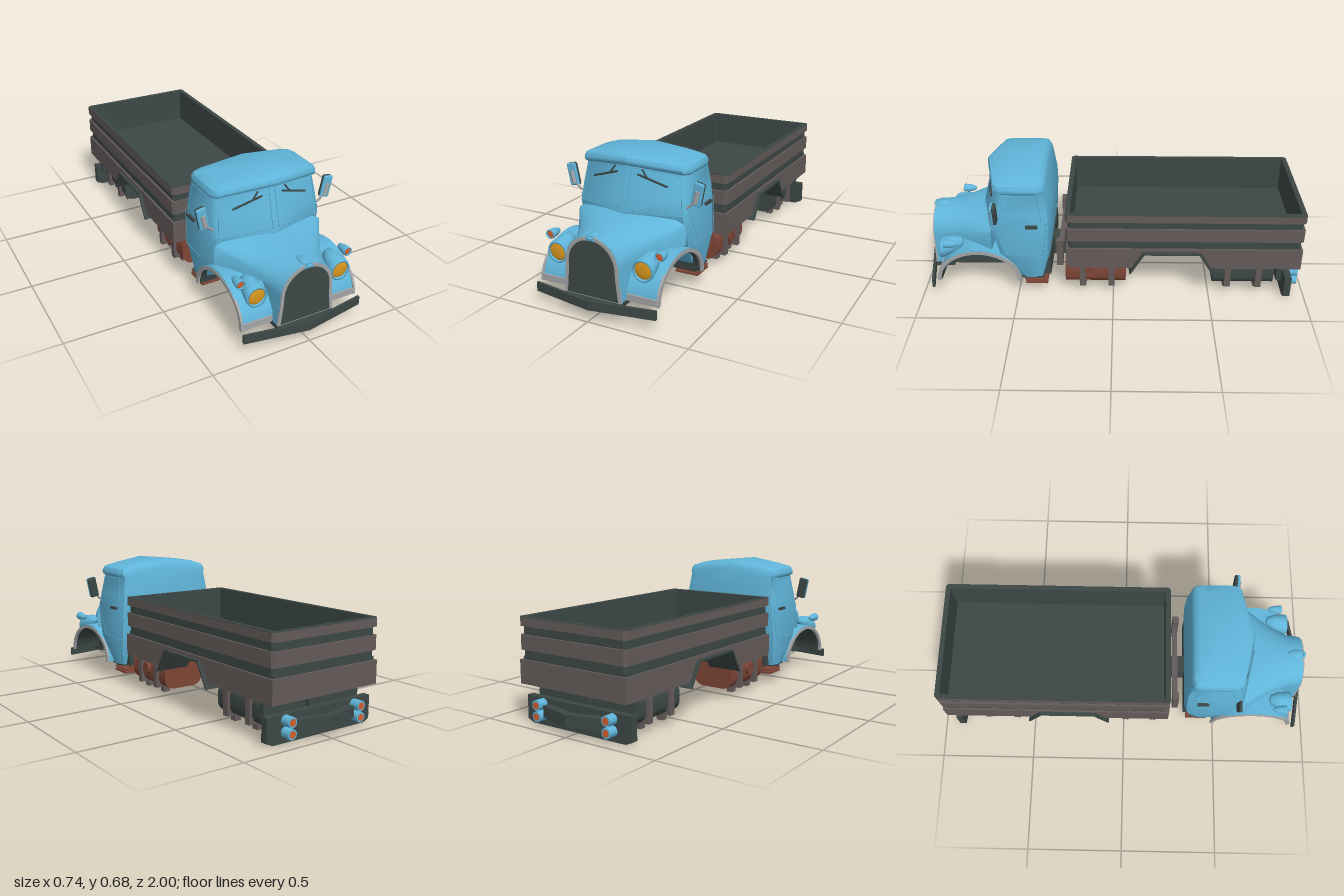
import * as THREE from 'three';
import { toCreasedNormals } from 'three/addons/utils/BufferGeometryUtils.js';
import { RoundedBoxGeometry } from 'three/addons/geometries/RoundedBoxGeometry.js';

const mat = (name, color) => new THREE.MeshStandardMaterial({ name, color, side: THREE.DoubleSide });

export function createModel() {
  const root = new THREE.Group();
  root.name = 'truck';
  const blue = mat('cab blue', 0x60b5da), dark = mat('dark chassis', 0x3c4846), slat = mat('slat grey brown', 0x635b59);
  const rust = mat('rust brown', 0x7e4636), amber = mat('amber', 0xdb981e), red = mat('orange red', 0xd2602f);
  const silver = mat('silver', 0xa3a5a6);
  const V = (x, y, z) => new THREE.Vector3(x, y, z);

  const add = (name, geo, m) => {
    const mesh = new THREE.Mesh(geo, m);
    mesh.name = name;
    root.add(mesh);
    return mesh;
  };
  // box given by its limits
  const box = (name, m, x0, x1, y0, y1, z0, z1) =>
    add(name, new THREE.BoxGeometry(Math.abs(x1 - x0), y1 - y0, z1 - z0)
      .translate((x0 + x1) / 2, (y0 + y1) / 2, (z0 + z1) / 2), m);
  // round rod between two points
  const bar = (name, m, a, b, r, sides = 6) => {
    const mesh = add(name, new THREE.CylinderGeometry(r, r, a.distanceTo(b), sides), m);
    mesh.position.copy(a).lerp(b, 0.5);
    mesh.quaternion.setFromUnitVectors(V(0, 1, 0), b.clone().sub(a).normalize());
  };
  const outline = (name, m, pts, r) => pts.forEach((p, i) => bar(name, m, p, pts[(i + 1) % pts.length], r, 4));
  const poly = (pts) => new THREE.Shape(pts.map(([a, b]) => new THREE.Vector2(a, b)));
  // extrude a (z, y) side profile from x0 to x1
  const extrudeX = (name, m, shape, x0, x1) => {
    const lo = Math.min(x0, x1), hi = Math.max(x0, x1);
    const g = new THREE.ExtrudeGeometry(shape, { depth: hi - lo, bevelEnabled: false });
    add(name, toCreasedNormals(g.rotateY(-Math.PI / 2).translate(hi, 0, 0), 0.6), m);
  };
  // extrude an (x, y) shape from z0 to z1
  const extrudeZ = (name, m, shape, z0, z1) => add(name, toCreasedNormals(
    new THREE.ExtrudeGeometry(shape, { depth: z1 - z0, bevelEnabled: false }).translate(0, 0, z0), 0.6), m);
  // skin closed rings of points, with fan caps
  const loft = (rings, crease) => {
    const pos = [], tri = (...p) => p.forEach((q) => pos.push(...q));
    const n = rings[0].length;
    for (let i = 0; i + 1 < rings.length; i++) for (let j = 0; j < n; j++) {
      const k = (j + 1) % n, a = rings[i][j], b = rings[i][k], c = rings[i + 1][k], d = rings[i + 1][j];
      tri(a, b, c); tri(a, c, d);
    }
    [rings[0], rings.at(-1)].forEach((r, e) => {
      const c = [0, (r[0][1] + r[n / 2][1]) / 2, (r[0][2] + r[n / 2][2]) / 2];
      r.forEach((p, j) => (e ? tri(c, p, r[(j + 1) % n]) : tri(c, r[(j + 1) % n], p)));
    });
    const g = new THREE.BufferGeometry();
    g.setAttribute('position', new THREE.Float32BufferAttribute(pos, 3));
    return toCreasedNormals(g, crease);
  };
  // half ring from centre to centre, completed by its mirror image
  const mirrorRing = (half) => [...half, ...half.slice(1, -1).reverse().map(([x, y, z]) => [-x, y, z])];

  // cab: plan rings [y, half width, back, side front, centre front, crown]
  const cabRings = [
    [0.10, 0.28, 0.36, 0.48, 0.48, 0], [0.25, 0.302, 0.325, 0.58, 0.60, 0], [0.41, 0.296, 0.317, 0.62, 0.69, 0],
    [0.50, 0.289, 0.318, 0.602, 0.664, 0.04], [0.62, 0.276, 0.333, 0.578, 0.63, 0.1],
    [0.63, 0.283, 0.336, 0.592, 0.65, 0.1], [0.645, 0.283, 0.34, 0.597, 0.655, 0.1],
    [0.664, 0.274, 0.348, 0.592, 0.648, 0.1], [0.678, 0.22, 0.375, 0.56, 0.62, 0.1],
  ].map(([y, w, bk, sf, cf, k]) => mirrorRing(
    [[0, cf], [w - 0.02, sf], [w, sf - 0.03], [w, bk + 0.05], [w - 0.012, bk + 0.012], [w - 0.05, bk], [0, bk]]
      .map(([x, z]) => [x, y - k * x, z])));
  add('cab', loft(cabRings, 0.75), blue);
  box('cabFloor', dark, -0.275, 0.275, 0.094, 0.10, 0.362, 0.48);
  box('cabRearSkirt', dark, -0.25, 0.25, 0.10, 0.21, 0.327, 0.362);

  // hood: cross-sections [z, half width, shoulder height, top]
  const hoodRings = [
    [0.95, 0.136, 0.26, 0.384], [0.88, 0.146, 0.27, 0.385], [0.78, 0.19, 0.30, 0.394], [0.70, 0.24, 0.33, 0.405], [0.62, 0.293, 0.36, 0.412],
  ].map(([z, w, sh, top]) => {
    const half = [[0, 0.10, z], [0.147, 0.10, z], [Math.min(w, 0.146), 0.255, z], [w, Math.min(0.28, sh + 0.005), z]];
    for (let i = 1; i <= 9; i++) {
      const t = (i / 9) * Math.PI / 2;
      half.push([w * Math.cos(t) ** 0.85, sh + (top - sh) * Math.sin(t), z]);
    }
    half.at(-1)[0] = 0;
    return mirrorRing(half);
  });
  add('hood', loft(hoodRings, 0.8), blue);
  // ornament running into the peak of the grille
  const nub = add('hoodOrnament', new THREE.SphereGeometry(1, 16, 10), blue);
  nub.scale.set(0.026, 0.016, 0.05);
  nub.position.set(0, 0.381, 0.916);
  box('engineBayFloor', dark, -0.146, 0.146, 0.095, 0.102, 0.48, 0.948);

  // grille with bright surround, flared at the foot
  const arch = (inset, C = THREE.Shape) => {
    const s = new C(), w = 0.136 - inset, top = 0.386 - inset;
    s.moveTo(-w - 0.014, 0.1); s.lineTo(w + 0.014, 0.1); s.lineTo(w + 0.003, 0.2); s.lineTo(w, 0.26);
    s.bezierCurveTo(w - 0.005, 0.32, 0.08 - inset, top, 0, top);
    s.bezierCurveTo(inset - 0.08, top, 0.005 - w, 0.32, -w, 0.26);
    s.lineTo(-w - 0.003, 0.2);
    return s;
  };
  const surround = arch(0);
  surround.holes.push(arch(0.016, THREE.Path));
  extrudeZ('grilleSurround', silver, surround, 0.946, 0.955);
  extrudeZ('grille', dark, arch(0.015), 0.946, 0.952);
  extrudeZ('grillePeak', blue, poly([[-0.026, 0.369], [0.026, 0.369], [0.014, 0.395], [-0.014, 0.395]]), 0.948, 0.957);

  // half-ellipse band used by the wheel arches
  const band = (r0x, r0y, r1x, r1y) => {
    const s = new THREE.Shape();
    s.absellipse(0.695, 0.1, r1x, r1y, 0, Math.PI, false);
    if (r0x) s.absellipse(0.695, 0.1, r0x, r0y, Math.PI, 0, true);
    return s;
  };
  // windscreen points on the sloping glass plane, u out and v up
  const glass = (s, u, v) => {
    const x = THREE.MathUtils.lerp(0.276, 0.256, v) * u;
    const z = THREE.MathUtils.lerp(0.69 - 0.07 * u, 0.63 - 0.052 * u, v) + 0.002;
    return V(s * x, 0.41 + v * (0.21 - 0.025 * u), z);
  };
  // points on the door skin
  const side = (s, z, y) => V(s * (y > 0.41 ? 0.2962 - (y - 0.41) * 0.109 : 0.2962 + (0.41 - y) * 0.037), y, z);

  // rounded tank section, centred on x
  const tankShape = (x) => {
    const c = new THREE.Shape(), w = 0.117, r = 0.058, y0 = 0.05, y1 = 0.2;
    c.moveTo(x - w + r, y0);
    c.absarc(x + w - r, y0 + r, r, -Math.PI / 2, 0); c.absarc(x + w - r, y1 - r, r, 0, Math.PI / 2);
    c.absarc(x - w + r, y1 - r, r, Math.PI / 2, Math.PI); c.absarc(x - w + r, y0 + r, r, Math.PI, Math.PI * 1.5);
    return c;
  };

  for (const s of [-1, 1]) {
    // front fenders
    extrudeX('fender', blue, band(0.202, 0.166, 0.212, 0.182), s * 0.14, s * 0.308);
    extrudeX('wheelArchLiner', dark, band(0.196, 0.16, 0.202, 0.166), s * 0.14, s * 0.299);
    extrudeX('wheelArchTrim', silver, band(0.2, 0.16, 0.219, 0.177), s * 0.3, s * 0.312);
    extrudeX('innerWheelWall', dark, band(0, 0, 0.198, 0.162), s * 0.144, s * 0.15);
    box('fenderFrontTrim', silver, s * 0.15, s * 0.312, 0.10, 0.132, 0.903, 0.911);

    // headlights and turn signals, pods swept up towards the tail
    for (const [name, m, x, y, z, r, len, rise] of [['headlight', amber, 0.225, 0.251, 0.885, 0.054, 0.11, 0.32], ['turnSignal', red, 0.288, 0.311, 0.85, 0.023, 0.06, 0]]) {
      const pod = new THREE.LatheGeometry([[0.001, -len], [0.5 * r, -len * 0.9], [0.85 * r, -len * 0.5], [r, 0], [0.94 * r, 0.012], [0.8 * r, 0.012], [0.78 * r, 0]]
        .map(([a, b]) => new THREE.Vector2(a, b)), 24).rotateX(Math.PI / 2);
      pod.applyMatrix4(new THREE.Matrix4().set(1, 0, 0, 0, 0, 1, -rise, 0, 0, 0, 1, 0, 0, 0, 0, 1));
      add(name + 'Housing', pod, blue).position.set(s * x, y, z);
      const lens = add(name + 'Lens', new THREE.SphereGeometry(r * 0.81, 24, 12), m);
      lens.scale.z = 0.2;
      lens.position.set(s * x, y, z + 0.003);
    }

    // windscreen seal and wipers
    outline('windscreenSeal', blue, [glass(s, 0.06, 0.09), glass(s, 0.98, 0.01), glass(s, 0.98, 0.97), glass(s, 0.06, 0.98)], 0.002);
    const tip = glass(s, 0.75, 0.69), inner = glass(s, 0.21, 0.87), mid = glass(s, 0.39, 0.81), pivot = glass(s, 0.28, 0.99);
    [tip, inner, mid, pivot].forEach((p) => (p.z += 0.01));
    bar('wiperBlade', dark, tip, inner, 0.005);
    bar('wiperArm', dark, mid, pivot, 0.004);

    // doors
    outline('doorWindowSeal', blue, [side(s, 0.575, 0.445), side(s, 0.36, 0.45), side(s, 0.378, 0.585), side(s, 0.545, 0.585)], 0.002);
    const seam = [[0.59, 0.43], [0.58, 0.40], [0.51, 0.26], [0.355, 0.255], [0.335, 0.44]].map(([z, y]) => side(s, z, y));
    seam.slice(1).forEach((p, i) => bar('doorSeam', blue, seam[i], p, 0.0016, 4));
    box('doorHandle', dark, s * 0.292, s * 0.308, 0.415, 0.428, 0.38, 0.44);

    // mirrors: blue front shell, dark back
    bar('mirrorStalk', silver, V(s * 0.285, 0.45, 0.598), V(s * 0.325, 0.485, 0.598), 0.006);
    bar('mirrorBracket', silver, V(s * 0.326, 0.478, 0.598), V(s * 0.341, 0.54, 0.598), 0.013, 10);
    const shell = add('mirrorShell', new RoundedBoxGeometry(0.05, 0.112, 0.016, 4, 0.0079), blue);
    shell.position.set(s * 0.337, 0.521, 0.594);
    const face = add('mirrorBack', new RoundedBoxGeometry(0.05, 0.112, 0.02, 4, 0.0099), dark);
    face.position.set(s * 0.337, 0.521, 0.582);
    shell.rotation.z = face.rotation.z = s * -0.2;

    // steps
    box('step', rust, s * 0.15, s * 0.27, 0.052, 0.062, 0.345, 0.46);
    box('stepUpperPlate', rust, s * 0.15, s * 0.27, 0.069, 0.076, 0.345, 0.46);
    for (const z of [0.365, 0.43]) box('stepBracket', rust, s * 0.2, s * 0.225, 0.045, 0.10, z, z + 0.014);

    // tanks with straps
    for (const [name, m, z0, z1, straps] of [['fuelTank', rust, -0.065, 0.25, [0.01, 0.16]], ['rearTank', dark, -0.835, -0.52, [-0.595, -0.755]]]) {
      extrudeZ(name, m, tankShape(s * 0.155), z0, z1);
      for (const z of straps) {
        box('tankStrap', slat, s * 0.262, s * 0.286, 0.055, 0.19, z - 0.016, z + 0.016);
        box('tankStrapFoot', slat, s * 0.205, s * 0.24, 0.022, 0.058, z - 0.016, z + 0.016);
        box('tankStrapBase', slat, s * 0.205, s * 0.286, 0.052, 0.064, z - 0.016, z + 0.016);
      }
    }
    bar('tankCap', rust, V(s * 0.26, 0.135, 0.10), V(s * 0.288, 0.135, 0.10), 0.03, 20);

    // tail lights
    for (const y of [0.05, 0.104]) {
      bar('tailLightHousing', blue, V(s * 0.21, y, -0.91), V(s * 0.21, y, -0.97), 0.025, 16);
      bar('tailLightLens', red, V(s * 0.21, y, -0.96), V(s * 0.21, y, -0.972), 0.017, 16);
    }
  }

  // v-shaped bumpers
  const chevron = (name, w, tip, end, t, y0, y1) => {
    const g = new THREE.ExtrudeGeometry(poly([[-w, -end], [0, -tip], [w, -end], [w, t - end], [0, t - tip], [-w, t - end]]),
      { depth: y1 - y0, bevelEnabled: false });
    add(name, g.rotateX(-Math.PI / 2).translate(0, y0, 0), dark);
  };
  chevron('frontBumper', 0.315, 0.998, 0.945, 0.014, 0.056, 0.1);
  box('frontBumperMount', dark, -0.145, 0.145, 0.075, 0.0985, 0.86, 0.972);
  chevron('rearBumperBar', 0.18, -1, -0.955, -0.04, 0.05, 0.105);
  extrudeZ('rearPanel', dark, poly([[-0.28, 0], [0.28, 0], [0.315, 0.015], [0.315, 0.13], [-0.315, 0.13], [-0.315, 0.015]]), -0.922, -0.887);
  for (const x of [-0.12, 0.12]) box('rearBumperMount', dark, x - 0.02, x + 0.02, 0.06, 0.095, -0.95, -0.91);

  // chassis
  box('spineBeam', dark, -0.045, 0.045, 0.09, 0.195, -0.89, 0.42);
  box('rearCrossMember', dark, -0.29, 0.29, 0.10, 0.195, -0.87, -0.845);
  bar('crossRod', dark, V(-0.26, 0.085, 0.46), V(0.26, 0.085, 0.46), 0.01, 8);
  box('headboardSupport', slat, -0.24, 0.24, 0.20, 0.235, 0.262, 0.29);
  for (const x of [-0.22, 0.22]) box('headboardPost', slat, x - 0.02, x + 0.02, 0.15, 0.30, 0.262, 0.295);

  // cargo bed: underbody and side boards with a wheel cut-out
  const profile = (z0, z1, y1) => poly([[z0, 0.19], [-0.5, 0.19], [-0.44, 0.285], [-0.155, 0.285], [-0.095, 0.19], [z1, 0.19], [z1, y1], [z0, y1]]);
  extrudeX('bedUnderbody', dark, profile(-0.945, 0.23, 0.32), -0.306, 0.306);
  for (const s of [-1, 1]) {
    extrudeX('lowerSideBoard', slat, profile(-0.957, 0.24, 0.305), s * 0.304, s * 0.318);
    // angled flaps of the rear wheel arch
    extrudeX('rearArchFlap', dark, poly([[-0.515, 0.165], [-0.505, 0.165], [-0.437, 0.28], [-0.158, 0.28], [-0.09, 0.165], [-0.08, 0.165],
      [-0.152, 0.29], [-0.443, 0.29]]), s * 0.15, s * 0.336);
  }
  box('lowerTailBoard', slat, -0.318, 0.318, 0.19, 0.305, -0.957, -0.943);
  box('lowerHeadBoard', slat, -0.318, 0.318, 0.19, 0.305, 0.226, 0.24);
  // rectangular rings, corners clipped, for the upper boards and dark inner walls
  const boards = (name, m, out, t, y0, y1) => {
    const rect = (x, z, c) => [[-x, c - z], [c - x, -z], [x - c, -z], [x, c - z], [x, z - c], [x - c, z], [c - x, z], [-x, z - c]];
    const hw = 0.318 - out, hl = 0.5985 - out;
    const s = poly(rect(hw, hl, 0.012));
    s.holes.push(new THREE.Path(rect(hw - t, hl - t, 0.004).reverse().map(([a, b]) => new THREE.Vector2(a, b))));
    add(name, new THREE.ExtrudeGeometry(s, { depth: y1 - y0, bevelEnabled: false }).rotateX(-Math.PI / 2).translate(0, y0, -0.3585), m);
  };
  boards('bedWalls', dark, 0.011, 0.014, 0.30, 0.503);
  boards('middleBoards', slat, 0, 0.013, 0.352, 0.422);
  boards('topBoards', slat, 0, 0.013, 0.462, 0.503);
  boards('bedRim', dark, 0, 0.025, 0.503, 0.506);
  return root;
}
